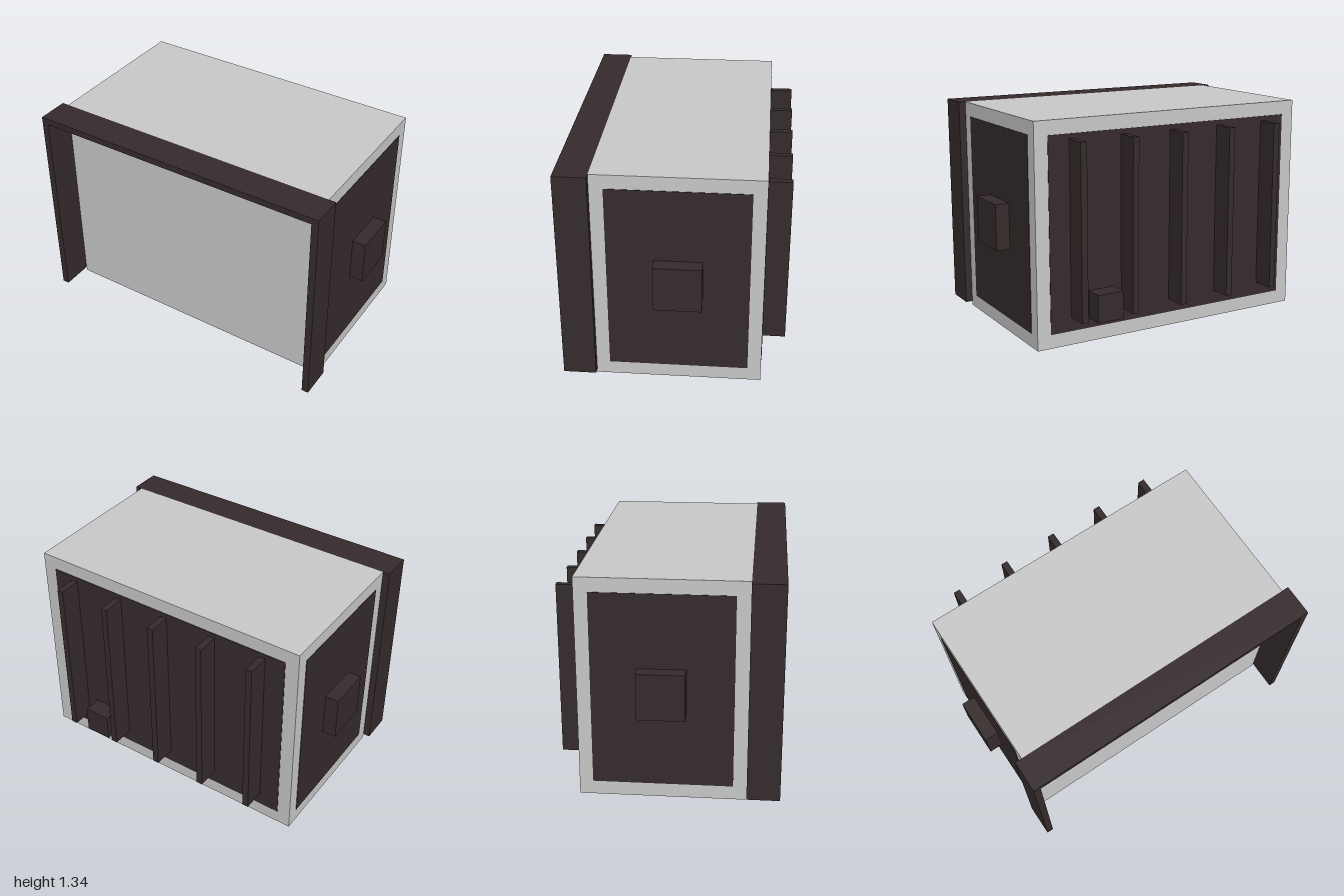
import * as THREE from 'three';

export function createModel() {
  const model = new THREE.Group();
  model.name = 'cabinet';

  const lightGrey = new THREE.MeshStandardMaterial({ color: 0xc9c9c9 });
  lightGrey.name = 'light grey';
  const darkBrown = new THREE.MeshStandardMaterial({ color: 0x362b2c });
  darkBrown.name = 'dark brown';

  // Box given by its min and max along each axis
  function block(name, material, [x0, x1], [y0, y1], [z0, z1]) {
    const mesh = new THREE.Mesh(new THREE.BoxGeometry(x1 - x0, y1 - y0, z1 - z0), material);
    mesh.position.set((x0 + x1) / 2, (y0 + y1) / 2, (z0 + z1) / 2);
    mesh.name = name;
    model.add(mesh);
    return mesh;
  }

  const W = 0.912, H = 1.34, back = -0.52, front = 0.465;

  // Main case
  block('body', lightGrey, [-W, W], [0, H], [back, front]);

  // Hood around the front: three-sided frame, open at the bottom
  const hood = new THREE.Shape([
    [-0.955, 0.025], [-W, 0.025], [-W, 1.3], [W, 1.3],
    [W, 0.025], [0.955, 0.025], [0.955, H], [-0.955, H],
  ].map(([x, y]) => new THREE.Vector2(x, y)));
  const frame = new THREE.Mesh(
    new THREE.ExtrudeGeometry(hood, { depth: 0.195, bevelEnabled: false }), darkBrown);
  frame.position.z = front;
  frame.name = 'frontFrame';
  model.add(frame);

  // Side panels and the blocks on them
  for (const [side, s] of [['left', 1], ['right', -1]]) {
    const span = (a, b) => (s > 0 ? [a, b] : [-b, -a]);
    block(side + 'Panel', darkBrown, span(W - 0.002, W + 0.003), [0.085, 1.255], [-0.44, 0.385]);
    block(side + 'Handle', darkBrown, span(W, 1), [0.53, 0.81], [-0.17, 0.11]);
  }

  // Back panel with vertical ribs
  block('backPanel', darkBrown, [-0.827, 0.827], [0.085, 1.255], [back - 0.003, back + 0.002]);
  for (let i = 0; i < 5; i++) {
    const x = -0.678 + i * 0.338;
    block('backRib', darkBrown, [x - 0.02, x + 0.02], [0.17, 1.225], [-0.66, back]);
  }

  // Connector box low on the back
  block('connectorBox', darkBrown, [0.405, 0.575], [0.145, 0.315], [-0.635, back]);

  return model;
}
